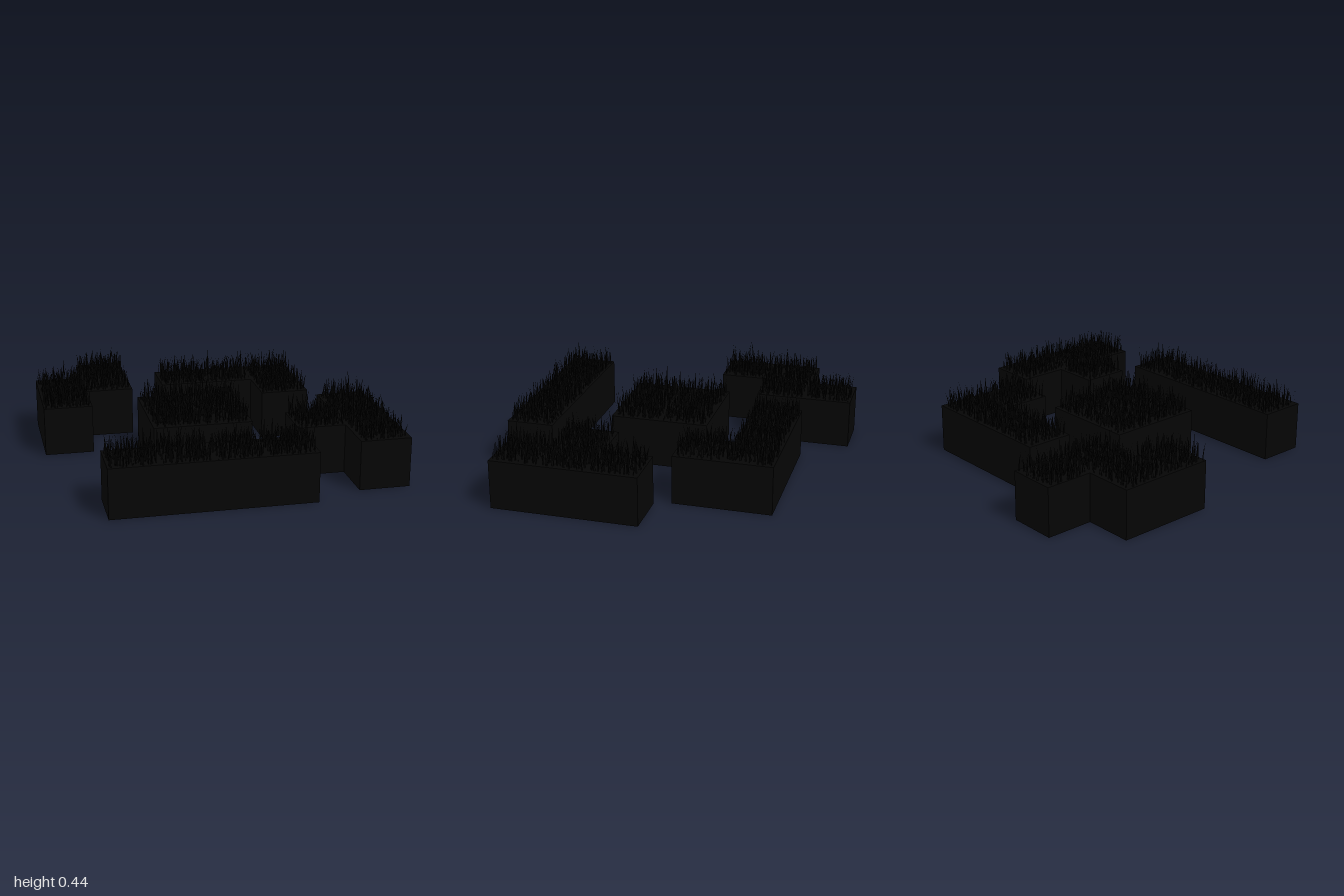
import * as THREE from 'three';
import { mergeGeometries } from 'three/addons/utils/BufferGeometryUtils.js';

const HEIGHT = 0.295; // planter height, also the side of one square cell
const CELL = 0.295;

// Each planter: top-view outline [x, z] and the corner [x, z] of every square cell
const PLANTERS = [
  {
    name: 'zigzagPlanter',
    outline: [[-0.7, -0.98], [-0.41, -0.98], [-0.41, -0.39], [-0.7, -0.39], [-0.7, -0.095], [-0.995, -0.095], [-0.995, -0.69], [-0.7, -0.69]],
    cells: [[-0.705, -0.98], [-0.705, -0.685], [-0.995, -0.685], [-0.995, -0.39]],
  },
  {
    name: 'cornerPlanter',
    outline: [[-0.21, -0.715], [0.67, -0.715], [0.67, -0.13], [0.375, -0.13], [0.375, -0.425], [-0.21, -0.425]],
    cells: [[-0.21, -0.718], [0.083, -0.718], [0.375, -0.718], [0.375, -0.425]],
  },
  {
    name: 'squarePlanter',
    outline: [[-0.405, -0.21], [0.185, -0.21], [0.185, 0.385], [-0.405, 0.385]],
    cells: [[-0.405, -0.21], [-0.11, -0.21], [-0.405, 0.087], [-0.11, 0.087]],
  },
  {
    name: 'teePlanter',
    outline: [[0.7, -0.03], [1, -0.03], [1, 0.845], [0.7, 0.845], [0.7, 0.555], [0.415, 0.555], [0.415, 0.265], [0.7, 0.265]],
    cells: [[0.703, -0.03], [0.703, 0.262], [0.703, 0.55], [0.412, 0.262]],
  },
  {
    name: 'longPlanter',
    outline: [[-0.755, 0.68], [0.425, 0.68], [0.425, 0.965], [-0.755, 0.965]],
    cells: [[-0.755, 0.675], [-0.46, 0.675], [-0.165, 0.675], [0.13, 0.675]],
  },
];

// Small seeded generator
function seeded(seed) {
  return () => {
    seed = (seed * 1664525 + 1013904223) % 4294967296;
    return seed / 4294967296;
  };
}

// Unit blade: narrows to a tip and curves forward in z
function makeBlade() {
  const blade = new THREE.PlaneGeometry(1, 1, 1, 3).translate(0, 0.5, 0);
  const p = blade.attributes.position;
  for (let i = 0; i < p.count; i++) {
    const t = p.getY(i);
    p.setX(i, p.getX(i) * (1 - 0.9 * t * t));
    p.setZ(i, t * t);
  }
  blade.computeVertexNormals();
  return blade;
}

// Jittered rows of blades over the cells of one planter
function makeGrass(cells, random) {
  const unit = makeBlade();
  const blades = [];
  const dummy = new THREE.Object3D();
  const rows = 12;
  const margin = 0.012;
  const step = (CELL - 2 * margin) / rows;
  for (const [x, z] of cells) {
    for (let i = 0; i < rows * rows; i++) {
      const col = i % rows;
      const row = Math.floor(i / rows);
      const tall = 0.05 + 0.06 * random() + 0.045 * random() ** 4;
      dummy.position.set(
        x + margin + (col + random()) * step,
        HEIGHT - 0.003,
        z + margin + (row + random()) * step,
      );
      dummy.rotation.y = random() * Math.PI * 2;
      dummy.scale.set(0.007 + 0.005 * random(), tall, 0.003 + 0.022 * random());
      dummy.updateMatrix();
      blades.push(unit.clone().applyMatrix4(dummy.matrix));
    }
  }
  return mergeGeometries(blades);
}

// Outline raised into a solid block
function makeBlock(outline) {
  const shape = new THREE.Shape(outline.map(([x, z]) => new THREE.Vector2(x, -z)));
  return new THREE.ExtrudeGeometry(shape, { depth: HEIGHT, bevelEnabled: false }).rotateX(-Math.PI / 2);
}

export function createModel() {
  const model = new THREE.Group();
  model.name = 'planterSet';
  const blockMaterial = new THREE.MeshStandardMaterial({ color: 0x050505 });
  const grassMaterial = new THREE.MeshStandardMaterial({ color: 0x020202, side: THREE.DoubleSide });
  const random = seeded(7);

  for (const { name, outline, cells } of PLANTERS) {
    const planter = new THREE.Group();
    planter.name = name;
    const block = new THREE.Mesh(makeBlock(outline), blockMaterial);
    block.name = 'block';
    const grass = new THREE.Mesh(makeGrass(cells, random), grassMaterial);
    grass.name = 'grass';
    planter.add(block, grass);
    model.add(planter);
  }
  return model;
}
